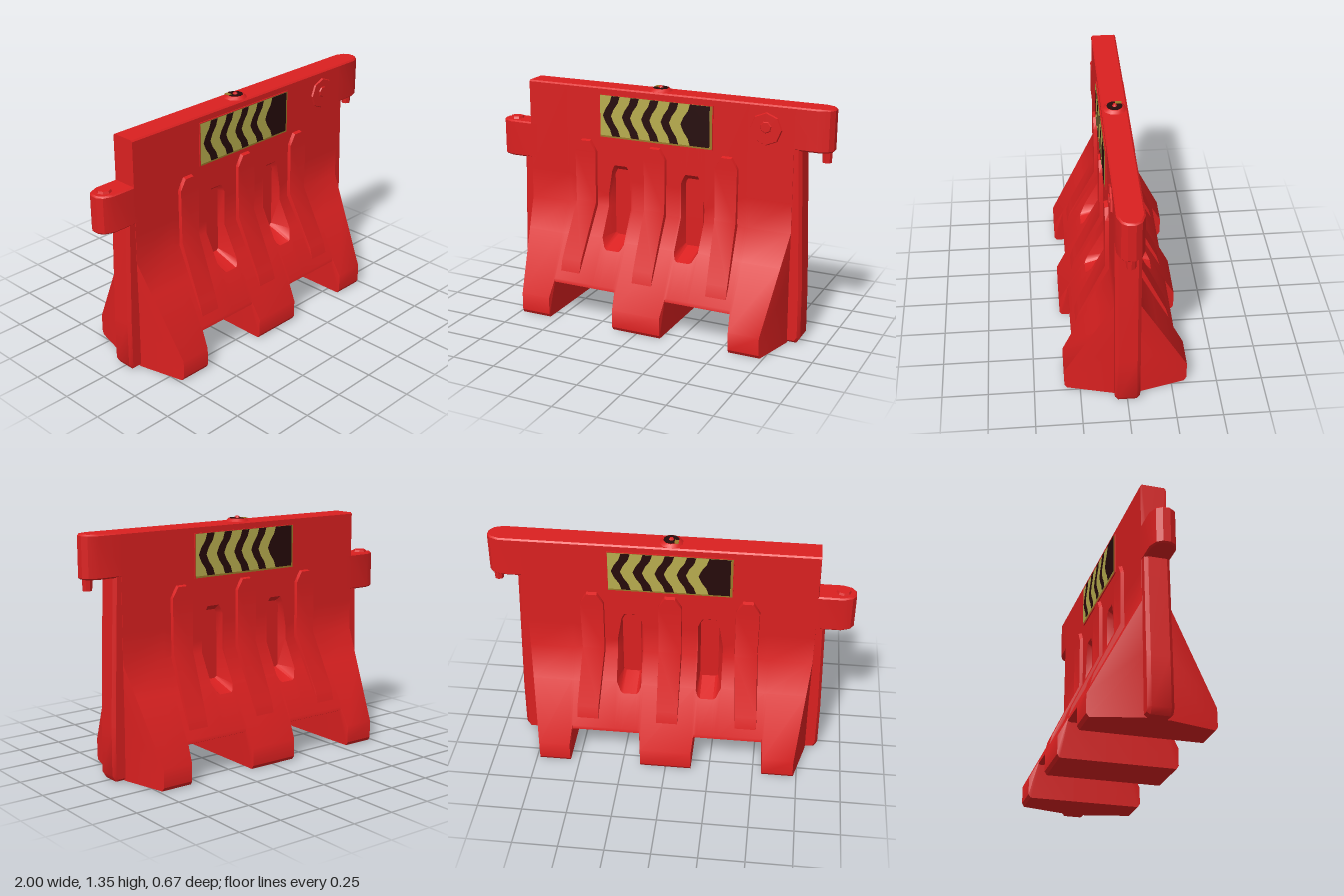
import * as THREE from 'three';
import { mergeGeometries, toCreasedNormals } from 'three/addons/utils/BufferGeometryUtils.js';
import { ConvexGeometry } from 'three/addons/geometries/ConvexGeometry.js';

const mat = (name, color) => {
  const m = new THREE.MeshStandardMaterial({ color });
  m.name = name;
  return m;
};
const V = (x, y, z) => new THREE.Vector3(x, y, z);

// half depth of the sloped wall at height y
const KINK = 0.63;
const surf = y => (y >= KINK ? 0.07 : 0.07 + ((KINK - y) / 0.51) * 0.265);

// half cross-section [z, y] from bottom to top; open = slot recess cut in
function profile({ foot = false, open = false, yb = 0.46, yt = 0.8 }) {
  const base = foot
    ? [[0.07, 0], [0.322, 0], [0.335, 0.02], [0.335, 0.12]]
    : [[0.07, 0.2], [0.27, 0.2], [0.284, 0.206], [surf(0.225), 0.225]];
  const lower = [surf(yb), yb], upper = [surf(yt), yt];
  const floor = open
    ? [[0.03, yb + 0.05], [0.03, KINK], [0.03, yt - 0.03]]
    : [lower, [surf(KINK), KINK], upper];
  return [...base, lower, ...floor, upper, [0.07, 1.312], [0.062, 1.32]];
}

// main body: cross-sections lofted along x
function bodyGeometry() {
  const half = [
    { x: -0.795, foot: true, end: true },
    { x: -0.552, foot: true },
    { x: -0.54 },
    { x: -0.295, yb: 0.47, yt: 0.7 },
    { x: -0.27, yb: 0.42, yt: 0.85, open: true },
    { x: -0.255, yb: 0.41, yt: 0.88, open: true },
    { x: -0.18, yb: 0.41, yt: 0.88, open: true },
    { x: -0.168, yb: 0.42, yt: 0.86, open: true },
    { x: -0.155, yb: 0.45, yt: 0.83 },
    { x: -0.145, foot: true },
  ];
  const stations = [...half, ...half.map(s => ({ ...s, x: -s.x })).reverse()];
  const rings = stations.map(s => {
    const p = profile(s);
    const ring = [...p, ...p.map(([z, y]) => [-z, y]).reverse()];
    // the end walls lean inwards towards the toes
    return ring.map(([z, y]) =>
      V(s.end ? s.x - Math.sign(s.x) * 0.25 * Math.max(0, Math.abs(z) - 0.07) : s.x, y, z));
  });
  const pos = [];
  const tri = (...pts) => {
    const area = pts[1].clone().sub(pts[0]).cross(pts[2].clone().sub(pts[0])).length();
    if (area > 1e-8) pts.forEach(p => pos.push(p.x, p.y, p.z));
  };
  const n = rings[0].length;
  for (let i = 0; i < rings.length - 1; i++)
    for (let j = 0; j < n; j++) {
      const k = (j + 1) % n;
      const a = rings[i][j], b = rings[i][k], c = rings[i + 1][k], d = rings[i + 1][j];
      tri(a, d, c);
      tri(a, c, b);
    }
  const first = rings[0], last = rings[rings.length - 1];
  for (let j = 0; j < n; j++) {
    const k = (j + 1) % n;
    tri(V(-0.81, 0.4, 0), first[j], first[k]);
    tri(V(0.81, 0.4, 0), last[k], last[j]);
  }
  const g = new THREE.BufferGeometry();
  g.setAttribute('position', new THREE.Float32BufferAttribute(pos, 3));
  return g;
}

const shapeOf = pts => new THREE.Shape(pts.map(p => new THREE.Vector2(...p)));

// end post with bevelled edges
function postGeometry(side, top, xTop) {
  const pts = [[0.75, 0.015], [0.835, 0.015], [0.85, 0.04], [0.848, 0.3], [xTop, top], [0.75, top]]
    .map(([x, y]) => [x * side, y]);
  const g = new THREE.ExtrudeGeometry(shapeOf(pts), {
    depth: 0.1, bevelEnabled: true, bevelSize: 0.015, bevelThickness: 0.018, bevelSegments: 1,
  });
  return g.translate(0, 0, -0.05);
}

// connector tab: plan outline with a blunt nose, extruded upwards
function tabGeometry(side, tip, y0, y1) {
  const r = tip - 0.07;
  const pts = [[0.76, -0.07], [r, -0.07], [tip - 0.02, -0.05], [tip, -0.02],
    [tip, 0.02], [tip - 0.02, 0.05], [r, 0.07], [0.76, 0.07]].map(([x, z]) => [x * side, z]);
  const b = 0.008;
  const g = new THREE.ExtrudeGeometry(shapeOf(pts), {
    depth: y1 - y0 - 2 * b, bevelEnabled: true, bevelSize: b, bevelOffset: -b,
    bevelThickness: b, bevelSegments: 1,
  });
  return g.rotateX(-Math.PI / 2).translate(0, y0 + b, 0);
}

// raised rib: upright piece and sloped piece; lean shifts its foot sideways
function ribGeometry(x, lean) {
  const upper = [], lower = [];
  const outline = [[-0.066, 0.65], [-0.068, 0.95], [-0.03, 1.02], [0.03, 1.02], [0.068, 0.95], [0.066, 0.65]];
  for (const [dx, y] of outline) {
    upper.push(V(x + dx, y, 0.05), V(x + dx * 0.94, y > 1 ? y - 0.012 : y, 0.09));
  }
  for (const s of [-1, 1]) {
    lower.push(V(x + s * 0.066, 0.65, 0.05), V(x + s * 0.062, 0.65, 0.09));
    lower.push(V(x + lean + s * 0.064, 0.31, surf(0.31) - 0.03));
    lower.push(V(x + lean + s * 0.06, 0.335, surf(0.335) + 0.016));
    lower.push(V(x + lean + s * 0.06, 0.27, surf(0.27)));
  }
  return mergeGeometries([new ConvexGeometry(upper), new ConvexGeometry(lower)]);
}

// curved dark band of the sign, optionally running to a straight right edge
function bandGeometry(x, width, edge) {
  const up = [], down = [];
  [0.055, 0.043, 0.016, 0, 0.016, 0.043, 0.055].forEach((dx, i) => {
    const y = -0.114 + i * 0.038;
    up.push([edge ?? x + dx + width, y]);
    down.unshift([x + dx, y]);
  });
  return new THREE.ShapeGeometry(shapeOf([...up, ...down]));
}

export function createModel() {
  const red = mat('barrier red', 0xdb2020);
  const yellow = mat('faded yellow', 0xb8ad4e);
  const gold = mat('dull gold', 0x9a7a2a);
  const dark = mat('dark brown', 0x260a0a);

  const model = new THREE.Group();
  model.name = 'trafficBarrier';
  const add = (name, geo, material, x = 0, y = 0, z = 0, parent = model) => {
    const m = new THREE.Mesh(toCreasedNormals(geo, 0.55), material);
    m.name = name;
    m.position.set(x, y, z);
    parent.add(m);
  };

  add('body', bodyGeometry(), red);

  // end posts and interlocking tabs
  add('leftPost', postGeometry(1, 1.1, 0.82), red);
  add('rightPost', postGeometry(-1, 1.05, 0.825), red);
  add('leftTab', tabGeometry(1, 0.995, 1.09, 1.32), red);
  add('rightTab', tabGeometry(-1, 1, 0.86, 1.07), red);
  add('tabPin', new THREE.CylinderGeometry(0.028, 0.025, 0.07, 8), red, 0.955, 1.065, 0);
  add('tabSocket', new THREE.CylinderGeometry(0.035, 0.042, 0.015, 8), red, -0.93, 1.075, 0);

  // ribs and reflective sign on both faces
  for (const [face, turn] of [['front', 0], ['back', Math.PI]]) {
    const g = new THREE.Group();
    g.name = face + 'Details';
    g.rotation.y = turn;
    model.add(g);
    for (const [x, lean] of [[-0.43, -0.022], [0, 0], [0.425, 0.02]])
      add('rib', ribGeometry(x, lean), red, 0, 0, 0, g);

    add('signBacking', new THREE.BoxGeometry(0.68, 0.245, 0.012), red, 0, 1.16, 0.07, g);
    add('signFrame', new THREE.PlaneGeometry(0.674, 0.239), gold, 0, 1.16, 0.0775, g);
    add('signPanel', new THREE.PlaneGeometry(0.66, 0.228), yellow, -0.006, 1.165, 0.0795, g);
    for (let i = 0; i < 5; i++)
      add('signBand', bandGeometry(-0.318 + i * 0.118, 0.05, i === 4 ? 0.324 : undefined), dark, 0, 1.165, 0.0815, g);
  }

  // embossed round boss on the front
  const disc = (r0, r1, h, n) => new THREE.CylinderGeometry(r0, r1, h, n).rotateX(Math.PI / 2);
  add('boss', disc(0.085, 0.092, 0.014, 8), red, 0.64, 1.19, 0.072);
  add('bossKnob', disc(0.028, 0.034, 0.008, 7), red, 0.64, 1.2, 0.081);

  // filler cap on top: red collar, dark mouth, small nub and tag
  add('fillerCollar', new THREE.CylinderGeometry(0.048, 0.066, 0.016, 10), red, 0, 1.327, 0);
  add('fillerMouth', new THREE.CylinderGeometry(0.043, 0.043, 0.002, 10), dark, 0, 1.336, 0);
  add('capNub', new THREE.CylinderGeometry(0.008, 0.016, 0.012, 6), red, 0, 1.341, 0);
  add('capTag', new THREE.BoxGeometry(0.022, 0.004, 0.035), gold, -0.03, 1.336, -0.022);

  return model;
}
